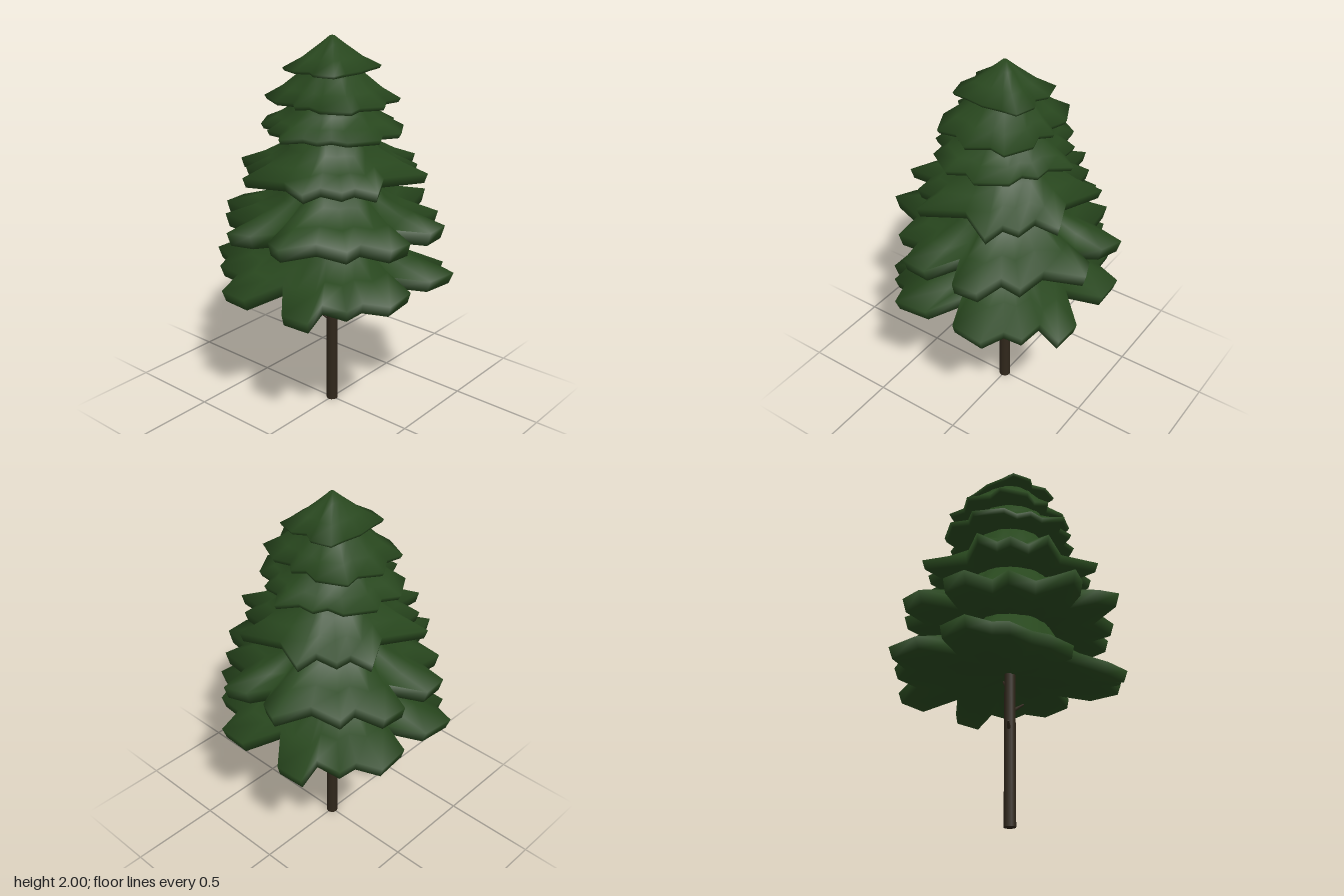
import * as THREE from 'three';
import { toCreasedNormals } from 'three/addons/utils/BufferGeometryUtils.js';

const leaf = new THREE.MeshStandardMaterial({ color: 0x28471e, side: THREE.DoubleSide });
const bark = new THREE.MeshStandardMaterial({ color: 0x30271b });

// Mirror a quarter rim of [x, z] points into a full loop running from +x towards +z
function fullLoop(quarter) {
  const half = [...quarter, ...quarter.slice(0, -1).reverse().map(([x, z]) => [-x, z])];
  return [...half, ...half.slice(1, -1).reverse().map(([x, z]) => [x, -z])];
}

// Loft rings from the neck down the slope, around the rim and back in underneath.
// r and top place the neck, base is the rim's lower edge, rim its thickness,
// bend the height of the knee in the slope, sag the droop of the side branches.
function tierGeometry({ r, top, base, rim, bend, sag = 0 }, quarter) {
  const loop = fullLoop(quarter).map(([x, z]) => [x, base - sag * x ** 4, z]);
  const under = base + 0.01;
  const slope = (f, h) => loop.map(([x, y, z]) => {
    const k = THREE.MathUtils.lerp(r / Math.hypot(x, z), 1, f);
    return [x * k, THREE.MathUtils.lerp(y + rim, top, h), z * k];
  });
  const below = (s, f) => loop.map(([x, y, z]) => [x * s, THREE.MathUtils.lerp(under, y, f), z * s]);
  const rings = [
    loop.map(() => [0, top, 0]),
    slope(0, 1), slope(0.2, bend), slope(0.58, bend * 0.44), slope(1, 0),
    below(0.965, 1), below(0.5, 0.5),
    loop.map(() => [0, under, 0]),
  ];
  const n = loop.length, index = [];
  for (let k = 0; k < rings.length - 1; k++) {
    for (let i = 0; i < n; i++) {
      const a = k * n + i, b = k * n + (i + 1) % n;
      if (k > 0) index.push(a, b, b + n);
      if (k < rings.length - 2) index.push(a, b + n, a + n);
    }
  }
  const geometry = new THREE.BufferGeometry();
  geometry.setAttribute('position', new THREE.Float32BufferAttribute(rings.flat(2), 3));
  geometry.setIndex(index);
  return toCreasedNormals(geometry, 2.2);
}

export function createModel() {
  const group = new THREE.Group();
  const add = (name, geometry, material) => {
    const mesh = new THREE.Mesh(geometry, material);
    mesh.name = name;
    group.add(mesh);
    return mesh;
  };

  // Trunk, reaching up inside the foliage
  add('trunk', new THREE.CylinderGeometry(0.029, 0.031, 0.9, 12), bark).position.y = 0.45;

  // Short broken twigs, each from a base point to a tip
  const addTwig = (from, to) => {
    const a = new THREE.Vector3(...from), b = new THREE.Vector3(...to);
    const twig = add('twig', new THREE.CylinderGeometry(0.005, 0.01, a.distanceTo(b), 6), bark);
    twig.position.copy(a).lerp(b, 0.5);
    twig.quaternion.setFromUnitVectors(new THREE.Vector3(0, 1, 0), b.sub(a).normalize());
  };
  addTwig([0, 0.595, 0.02], [0, 0.65, 0.1]);
  addTwig([-0.012, 0.49, -0.02], [-0.036, 0.515, -0.05]);
  addTwig([0.02, 0.72, 0], [0.055, 0.765, 0.01]);

  // Foliage from the lowest tier to the crown: settings and a quarter of each jagged rim
  const addTier = (name, settings, quarter) => add(name, tierGeometry(settings, quarter), leaf);

  addTier('lowestTier', { r: 0.19, top: 1.06, base: 0.775, rim: 0.06, bend: 0.55, sag: 1.2 },
    [[0.38, 0], [0.53, 0.13], [0.525, 0.29], [0.41, 0.285], [0.4, 0.43],
      [0.31, 0.455], [0.265, 0.585], [0.085, 0.57], [0, 0.385]]);

  addTier('secondTier', { r: 0.2, top: 1.31, base: 1.02, rim: 0.07, bend: 0.52, sag: -0.15 },
    [[0.42, 0], [0.54, 0.06], [0.587, 0.17], [0.39, 0.23], [0.37, 0.405],
      [0.25, 0.39], [0.22, 0.55], [0.085, 0.56], [0, 0.385]]);

  addTier('thirdTier', { r: 0.18, top: 1.55, base: 1.295, rim: 0.05, bend: 0.55 },
    [[0.36, 0], [0.445, 0.195], [0.31, 0.19], [0.3, 0.315], [0.21, 0.32], [0.2, 0.45], [0, 0.33]]);

  addTier('fourthTier', { r: 0.18, top: 1.7, base: 1.535, rim: 0.025, bend: 0.6 },
    [[0.39, 0], [0.3, 0.07], [0.3, 0.16], [0.23, 0.19], [0.22, 0.28], [0.08, 0.37], [0, 0.32]]);

  addTier('fifthTier', { r: 0.12, top: 1.86, base: 1.68, rim: 0.02, bend: 0.74 },
    [[0.28, 0], [0.23, 0.05], [0.26, 0.14], [0.19, 0.28], [0.1, 0.26], [0, 0.33]]);

  addTier('crown', { r: 0.012, top: 2, base: 1.835, rim: 0.015, bend: 0.76 },
    [[0.17, 0], [0.21, 0.06], [0.18, 0.165], [0.1, 0.17], [0, 0.185]]);

  return group;
}
